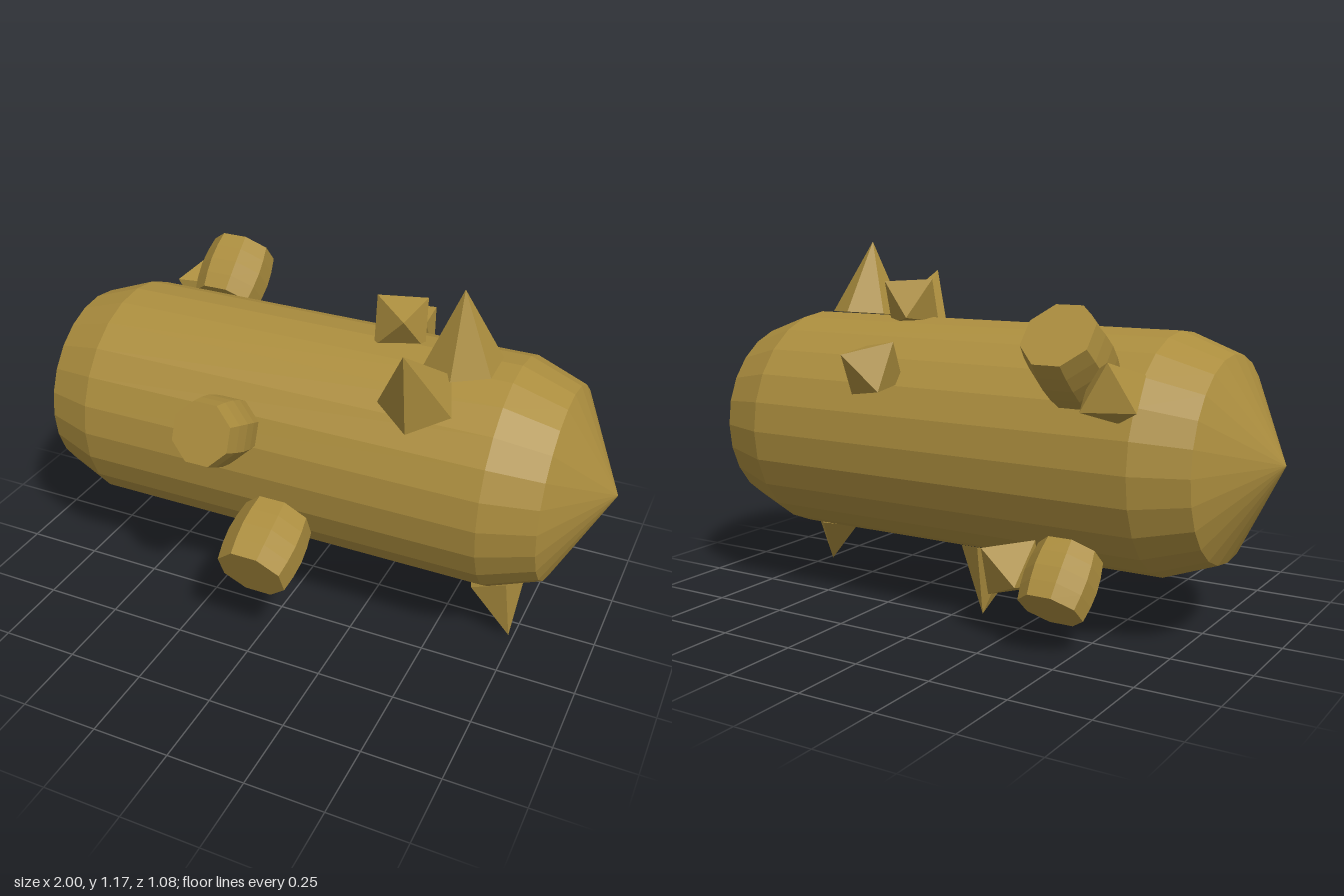
import * as THREE from 'three';

const CY = 0.56, CZ = -0.035, R = 0.37; // hull axis and radius

export function createModel() {
  const model = new THREE.Group();
  const material = new THREE.MeshStandardMaterial({ color: 0xab8d3e, flatShading: true });

  function add(name, geometry) {
    const mesh = new THREE.Mesh(geometry, material);
    mesh.name = name;
    model.add(mesh);
    return mesh;
  }

  // Stands a part on the hull at x, angle measured from +z towards +y; lean tips it towards +x
  function mount(mesh, x, degrees, lean = 0) {
    const a = THREE.MathUtils.degToRad(degrees);
    const axis = new THREE.Vector3(1, 0, 0);
    const out = new THREE.Vector3(0, Math.sin(a), Math.cos(a));
    const side = new THREE.Vector3().crossVectors(axis, out);
    mesh.quaternion.setFromRotationMatrix(new THREE.Matrix4().makeBasis(axis, out, side));
    mesh.rotateZ(-lean);
    mesh.position.set(x, CY + out.y * R, CZ + out.z * R);
  }

  // Hull: faceted drum with bevelled, pointed ends
  const profile = [[0, -1], [0.31, -0.835], [R, -0.67], [R, 0.67], [0.31, 0.835], [0, 1]];
  const hull = add('hull', new THREE.LatheGeometry(profile.map(([r, y]) => new THREE.Vector2(r, y)), 24));
  hull.rotation.z = -Math.PI / 2;
  hull.position.set(0, CY, CZ);

  // Bulging eight-sided barrels: x, angle, end radius, length
  const barrels = [
    [-0.14, 22, 0.1, 0.19],
    [0.02, -24.7, 0.113, 0.216],
    [-0.49, 138.3, 0.111, 0.209],
    [-0.44, 228.6, 0.1, 0.19],
  ];
  for (const [x, angle, radius, length] of barrels) {
    const g = new THREE.CylinderGeometry(radius, radius, length, 8, 4);
    const p = g.attributes.position;
    for (let i = 0; i < p.count; i++) {
      const s = 1 + 0.11 * Math.cos(Math.PI * p.getY(i) / length);
      p.setXYZ(i, p.getX(i) * s, p.getY(i), p.getZ(i) * s);
    }
    g.rotateY(Math.PI / 8).translate(0, length / 2, 0);
    mount(add('barrel', g), x, angle);
  }

  // Spikes: x, angle, base radius, height, sides, lean
  const spikes = [
    [0.5, 83.5, 0.122, 0.245, 6, 0],
    [0.42, 55.3, 0.122, 0.245, 5, 0],
    [0.665, -79.3, 0.1, 0.207, 5, 0.34],
    [-0.095, 251.7, 0.102, 0.204, 6, 0],
  ];
  for (const [x, angle, radius, height, sides, lean] of spikes) {
    const g = new THREE.ConeGeometry(radius, height, sides).translate(0, height / 2, 0);
    mount(add('spike', g), x, angle, lean);
  }

  // Crystals: centre, radius, and the directions of two neighbouring corners
  const crystals = [
    [[0.27, 0.98, -0.065], 0.112, [-0.085, 0.08, 0], [0.06, 0.07, -0.06]],
    [[0.19, 0.8, -0.395], 0.115, [0.05, 0.05, -0.095], [-0.09, 0.1, 0.005]],
    [[-0.64, 0.79, -0.43], 0.11, [-0.09, -0.04, -0.045], [0.06, -0.045, -0.08]],
    [[-0.27, 0.225, -0.335], 0.115, [0.07, -0.09, -0.02], [-0.06, -0.03, -0.09]],
  ];
  for (const [centre, radius, first, second] of crystals) {
    const crystal = add('crystal', new THREE.OctahedronGeometry(radius));
    const y = new THREE.Vector3(...first).normalize();
    const z = new THREE.Vector3().crossVectors(new THREE.Vector3(...second), y).normalize();
    const x = new THREE.Vector3().crossVectors(y, z);
    crystal.quaternion.setFromRotationMatrix(new THREE.Matrix4().makeBasis(x, y, z));
    crystal.position.set(...centre);
  }

  return model;
}
